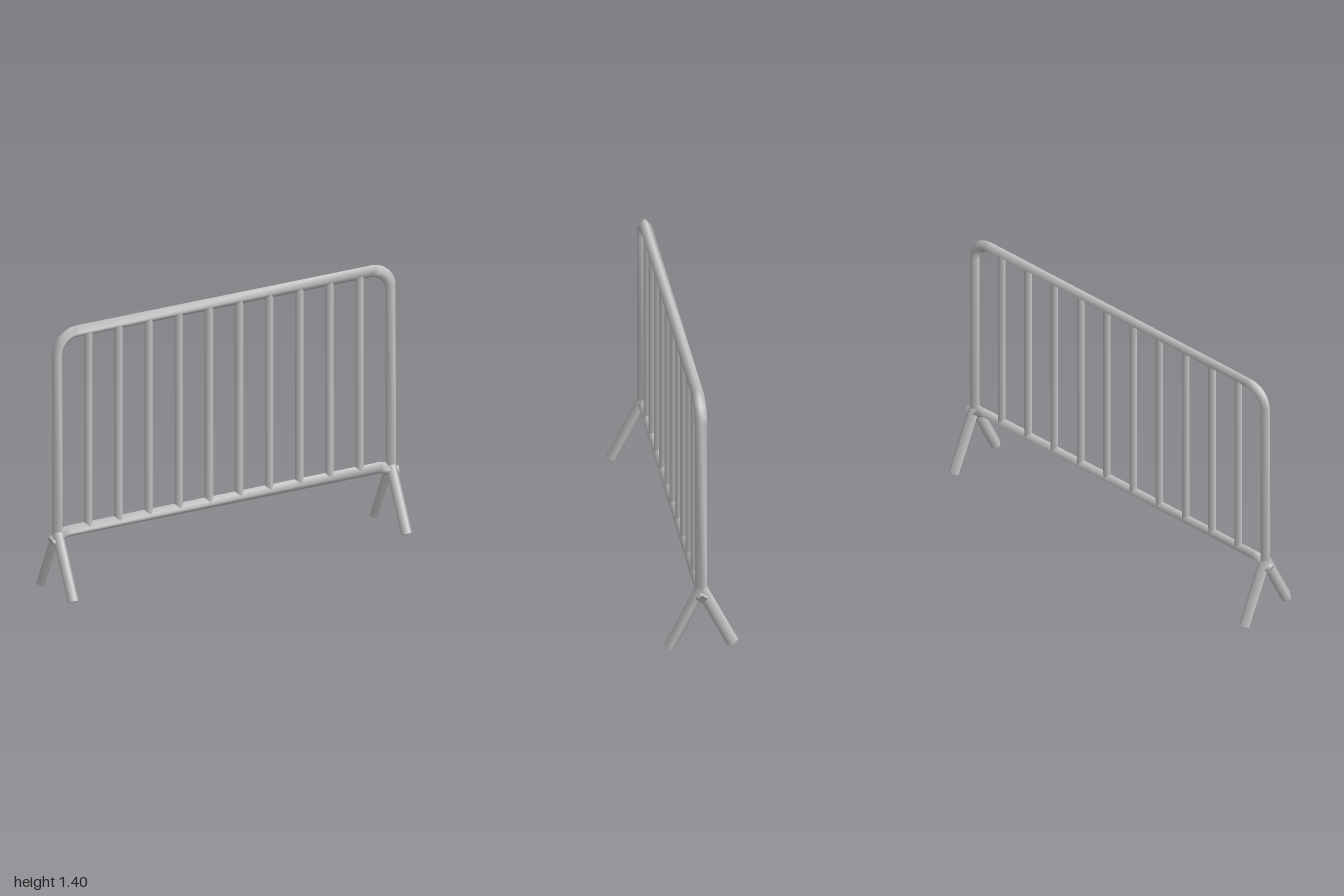
import * as THREE from 'three';

const R = 0.031;
const SIDES = 4;
const material = new THREE.MeshStandardMaterial({ color: 0xcccccc });

// Mitred four-sided tube swept along points in the xy plane, with closed ends
function sweep(points, radius) {
  const pos = [], index = [], last = points.length - 1;
  const ring = (i) => {
    const p = points[i];
    const a = p.clone().sub(points[Math.max(i - 1, 0)]).normalize();
    const b = points[Math.min(i + 1, last)].clone().sub(p).normalize();
    const t = a.clone().add(b).normalize();
    const miter = 1 / t.dot(i < last ? b : a);
    for (let j = 0; j < SIDES; j++) {
      const ang = (j / SIDES) * Math.PI * 2;
      const n = radius * miter * Math.cos(ang);
      pos.push(p.x - t.y * n, p.y + t.x * n, radius * Math.sin(ang));
    }
  };
  points.forEach((_, i) => ring(i));
  for (let i = 0; i < last; i++) {
    for (let j = 0; j < SIDES; j++) {
      const a = i * SIDES + j, b = i * SIDES + (j + 1) % SIDES;
      index.push(a, b, a + SIDES, b, b + SIDES, a + SIDES);
    }
  }
  // separate end rings keep the caps flat
  const s = (last + 1) * SIDES, e = s + SIDES;
  ring(0);
  ring(last);
  index.push(s, s + 2, s + 1, s, s + 3, s + 2, e, e + 1, e + 2, e, e + 2, e + 3);
  const g = new THREE.BufferGeometry();
  g.setAttribute('position', new THREE.Float32BufferAttribute(pos, 3));
  g.setIndex(index);
  g.computeVertexNormals();
  return g;
}

// Straight four-sided bar between two points
function bar(from, to, radius) {
  const dir = to.clone().sub(from);
  const g = new THREE.CylinderGeometry(radius, radius, dir.length(), SIDES);
  const mesh = new THREE.Mesh(g, material);
  mesh.position.copy(from).add(to).multiplyScalar(0.5);
  mesh.quaternion.setFromUnitVectors(new THREE.Vector3(0, 1, 0), dir.normalize());
  return mesh;
}

export function createModel() {
  const model = new THREE.Group();
  const v = (x, y, z = 0) => new THREE.Vector3(x, y, z);
  const add = (mesh, name) => {
    mesh.name = name;
    model.add(mesh);
  };

  // Bent hoop: two posts and the top rail with rounded corners
  const half = 0.95, top = 1.367, bend = 0.11, hoop = [v(-half, 0.32)];
  for (const side of [-1, 1]) {
    for (let k = 0; k <= 6; k++) {
      const a = (side < 0 ? Math.PI - (k / 6) * Math.PI / 2 : Math.PI / 2 - (k / 6) * Math.PI / 2);
      hoop.push(v(side * (half - bend) + bend * Math.cos(a), top - bend + bend * Math.sin(a)));
    }
  }
  hoop.push(v(half, 0.32));
  add(new THREE.Mesh(sweep(hoop, R), material), 'hoopFrame');

  // Lower rail with ends bent down through the posts
  const end = [v(0.985, 0.287), v(0.917, 0.317), v(0.9, 0.323), v(0.88, 0.325)];
  const rail = [...end.map((p) => v(-p.x, p.y)), ...end.slice().reverse()];
  add(new THREE.Mesh(sweep(rail, R - 0.001), material), 'lowerRail');

  // Upright infill bars
  for (let i = 0; i < 10; i++) {
    const x = -0.773 + i * 0.1718;
    add(bar(v(x, 0.325), v(x, top), 0.025), 'infillBar');
  }

  // Splayed legs, a pair under each post
  for (const side of [-1, 1]) {
    for (const z of [-1, 1]) {
      add(bar(v(side * half, 0.0138, z * 0.157), v(side * half, 0.332, 0), R), 'leg');
    }
  }
  return model;
}
